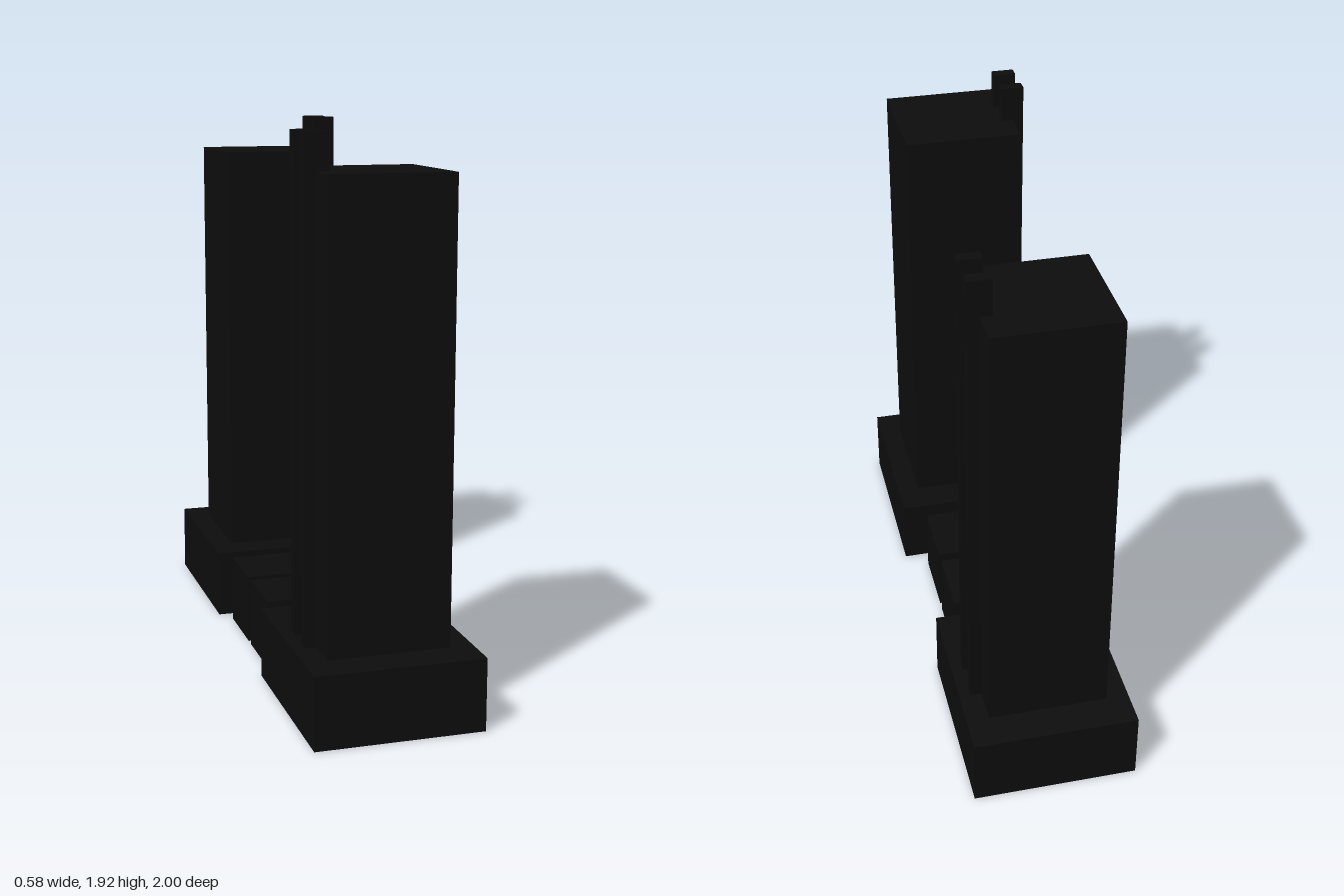
import * as THREE from 'three';

const black = new THREE.MeshStandardMaterial({ color: 0x0d0d0d });
black.name = 'black';

// Box given by its extents along each axis
function block(name, x0, x1, y0, y1, z0, z1) {
  const mesh = new THREE.Mesh(new THREE.BoxGeometry(x1 - x0, y1 - y0, z1 - z0), black);
  mesh.position.set((x0 + x1) / 2, (y0 + y1) / 2, (z0 + z1) / 2);
  mesh.name = name;
  return mesh;
}

// Podium, square shaft and two full-height fins on the -x wall
function createTower(name) {
  const tower = new THREE.Group();
  tower.name = name;
  tower.add(block('podium', -0.29, 0.29, 0, 0.25, 0.335, 1));
  tower.add(block('shaft', -0.21, 0.21, 0.25, 1.795, 0.456, 0.876));
  for (const z of [0.604, 0.732]) {
    tower.add(block('fin', -0.25, -0.17, 0.25, 1.92, z - 0.0215, z + 0.0215));
  }
  return tower;
}

export function createModel() {
  const model = new THREE.Group();
  model.name = 'twinTowers';

  // The back tower is the front one turned half way round
  const back = createTower('backTower');
  back.rotation.y = Math.PI;
  model.add(createTower('frontTower'), back);

  // Low buildings between the podiums
  model.add(block('frontLowBuilding', -0.25, 0.208, 0, 0.25, 0.02, 0.272));
  model.add(block('backLowBuilding', -0.25, 0.208, 0, 0.25, -0.27, -0.018));
  return model;
}
